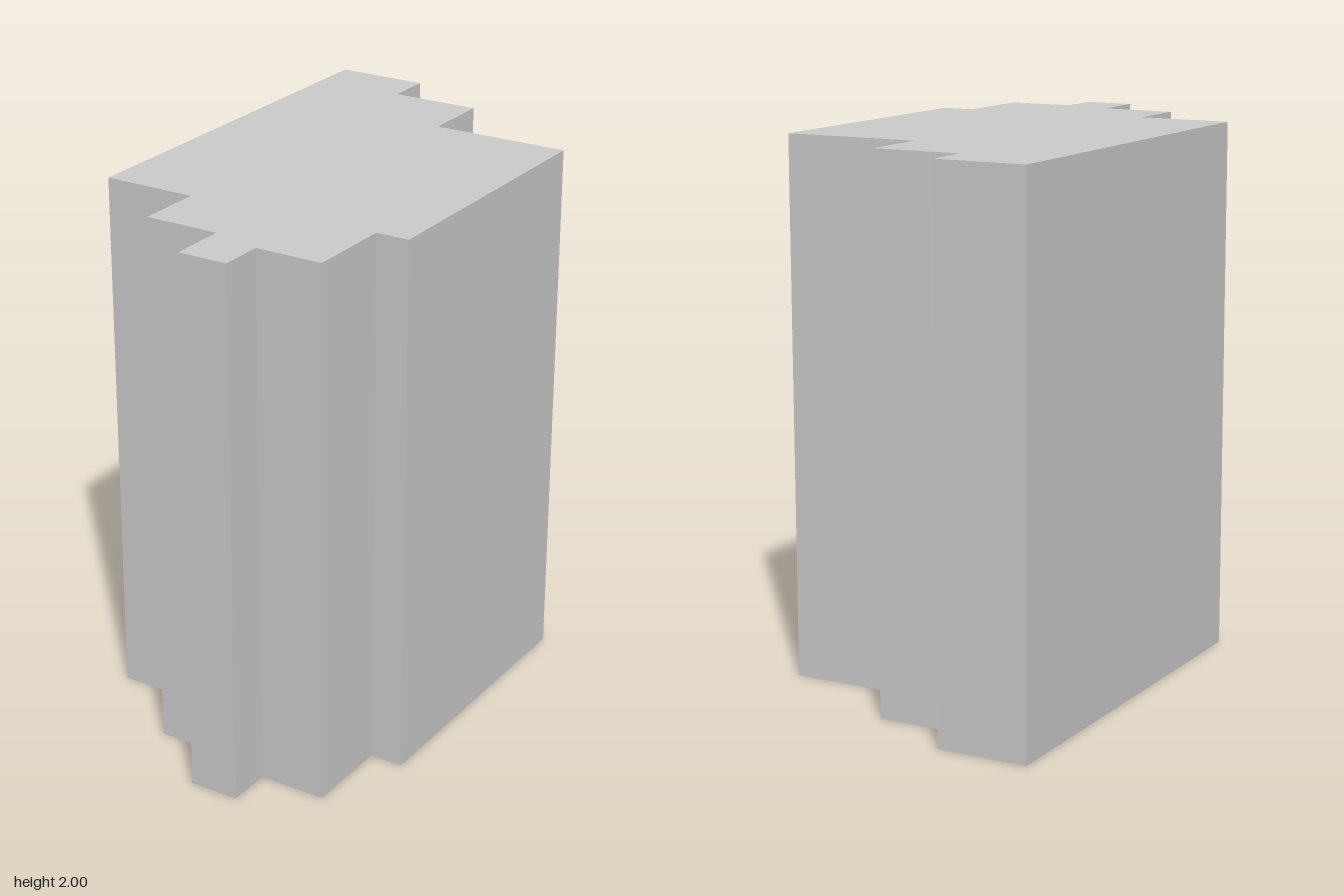
import * as THREE from 'three';
import { mergeGeometries } from 'three/addons/utils/BufferGeometryUtils.js';

const HEIGHT = 2;

// Stepped floor plan as [x, z] corners, from the back left corner round by the front
const PLAN = [
  [0.9, -0.725], [0.96, -0.388], [0.793, -0.358], [0.853, -0.03],
  [0.593, 0.016], [0.688, 0.525], [-0.378, 0.72], [-0.4, 0.598],
  [-0.724, 0.656], [-0.768, 0.408], [-0.932, 0.437], [-0.965, 0.254],
  [-0.755, 0.215], [-0.804, -0.061], [-0.56, -0.104], [-0.621, -0.449],
];

// One upright panel between two plan corners, facing outward
function wallPanel([x0, z0], [x1, z1]) {
  const dx = x1 - x0, dz = z1 - z0;
  return new THREE.PlaneGeometry(Math.hypot(dx, dz), HEIGHT)
    .rotateY(Math.atan2(dz, -dx))
    .translate((x0 + x1) / 2, HEIGHT / 2, (z0 + z1) / 2);
}

export function createModel() {
  const group = new THREE.Group();
  group.name = 'steppedBuilding';
  const material = new THREE.MeshStandardMaterial({
    color: 0xcccccc, flatShading: true, side: THREE.DoubleSide,
  });

  // Thin outer walls, open at the ground
  const panels = PLAN.map((p, i) => wallPanel(p, PLAN[(i + 1) % PLAN.length]));
  const walls = new THREE.Mesh(mergeGeometries(panels), material);
  walls.name = 'walls';

  // Flat roof closing the top
  const outline = new THREE.Shape(PLAN.map(([x, z]) => new THREE.Vector2(x, -z)));
  const roof = new THREE.Mesh(
    new THREE.ShapeGeometry(outline).rotateX(-Math.PI / 2).translate(0, HEIGHT, 0),
    material,
  );
  roof.name = 'roof';

  group.add(walls, roof);
  return group;
}
